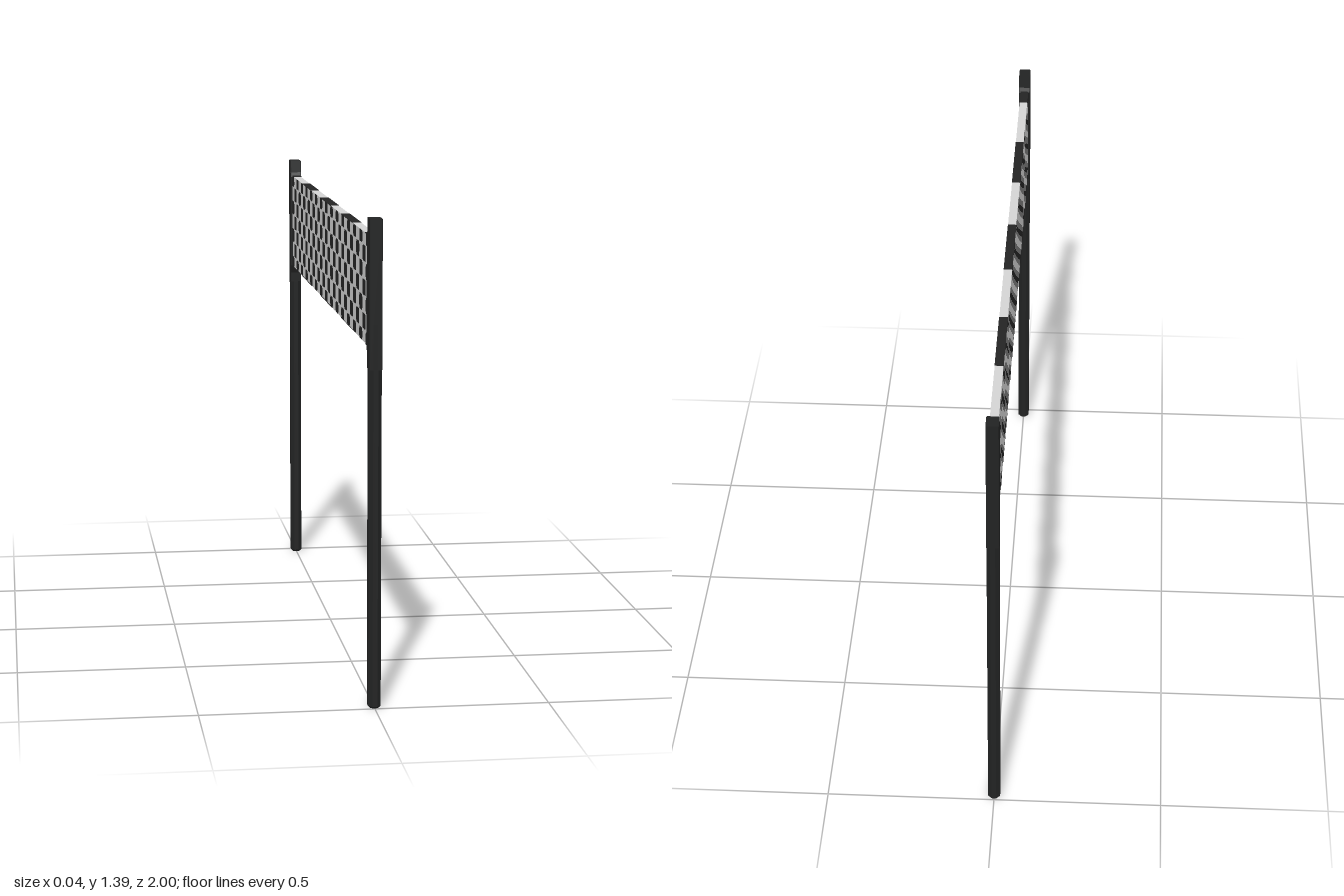
import * as THREE from 'three';
import { mergeGeometries } from 'three/addons/utils/BufferGeometryUtils.js';

const white = new THREE.MeshStandardMaterial({ color: 0xd4d4d4 });
white.name = 'banner white';
const black = new THREE.MeshStandardMaterial({ color: 0x242424 });
black.name = 'check black';
const postBlack = new THREE.MeshStandardMaterial({ color: 0x222323 });
postBlack.name = 'post black';

const HALF = 0.95, BOTTOM = 1.027, TOP = 1.338, THICK = 0.013;

// Rectangle with small cut corners, for one check
function checkShape(x0, x1, y0, y1, c) {
  return new THREE.Shape([
    [x0 + c, y0], [x1 - c, y0], [x1, y0 + c], [x1, y1 - c],
    [x1 - c, y1], [x0 + c, y1], [x0, y1 - c], [x0, y0 + c],
  ].map(([x, y]) => new THREE.Vector2(x, y)));
}

// All checks of one banner face, lying in the xy plane
function checkGeometry() {
  const pitch = 0.0655, rowH = 0.048, mid = (TOP + BOTTOM) / 2;
  const parts = [];
  for (let row = -3; row <= 3; row++) {
    for (let col = -15; col <= 15; col++) {
      if ((row + col + 30) % 2 === 0) continue;
      const x0 = Math.max(col * pitch - 0.032, -HALF);
      const x1 = Math.min(col * pitch + 0.032, HALF);
      if (x1 - x0 < 0.02) continue;
      const y0 = Math.max(mid + row * rowH - 0.0225, BOTTOM);
      const y1 = Math.min(mid + row * rowH + 0.0225, TOP);
      parts.push(new THREE.ShapeGeometry(checkShape(x0, x1, y0, y1, 0.008)));
    }
  }
  return mergeGeometries(parts);
}

function makeBanner() {
  const banner = new THREE.Group();
  banner.name = 'banner';
  const panel = new THREE.Mesh(
    new THREE.BoxGeometry(THICK * 2 - 0.001, TOP - BOTTOM, HALF * 2), white);
  panel.name = 'bannerPanel';
  panel.position.y = (TOP + BOTTOM) / 2;
  banner.add(panel);

  // Checks on both faces
  const checks = checkGeometry();
  for (const side of [1, -1]) {
    const face = new THREE.Mesh(checks, black);
    face.name = side > 0 ? 'leftChecks' : 'rightChecks';
    face.rotation.y = side * Math.PI / 2;
    face.position.x = side * THICK;
    banner.add(face);
  }

  // Long stripes along the top and bottom edges
  const stripes = [[-0.95, -0.9], [-0.64, -0.395], [-0.14, 0.11], [0.36, 0.61], [0.87, 0.95]];
  for (const [a, b] of stripes) {
    for (const y of [TOP, BOTTOM]) {
      const stripe = new THREE.Mesh(new THREE.BoxGeometry(THICK * 2, 0.002, b - a), black);
      stripe.name = 'edgeStripe';
      stripe.position.set(0, y, (a + b) / 2);
      banner.add(stripe);
    }
  }
  return banner;
}

// Post at the +z end: chamfered pole and the clamp holding the banner
function makePost() {
  const post = new THREE.Group();
  const poleGeo = new THREE.ExtrudeGeometry(checkShape(-0.013, 0.013, -0.019, 0.019, 0.008), {
    depth: 1.09, bevelThickness: 0.006, bevelSize: 0.005, bevelSegments: 1,
  });
  poleGeo.rotateX(-Math.PI / 2).translate(0, 0.006, 0.976);
  const pole = new THREE.Mesh(poleGeo, postBlack);
  pole.name = 'pole';
  post.add(pole);

  const profile = [
    [0.999, 0.97], [0.999, 1.389], [0.954, 1.389], [0.949, 1.35], [0.941, 1.335],
    [0.941, 1.027], [0.952, 1.0], [0.952, 0.97],
  ];
  // Shape x becomes z, extrusion runs across x
  const clampGeo = new THREE.ExtrudeGeometry(
    new THREE.Shape(profile.map(([z, y]) => new THREE.Vector2(-z, y))),
    { depth: 0.032, bevelThickness: 0.002, bevelSize: 0.001, bevelSegments: 1 });
  clampGeo.translate(0, 0, -0.016).rotateY(Math.PI / 2);
  const clamp = new THREE.Mesh(clampGeo, postBlack);
  clamp.name = 'bannerClamp';
  post.add(clamp);
  return post;
}

export function createModel() {
  const model = new THREE.Group();
  model.name = 'finishBanner';
  model.add(makeBanner());
  const front = makePost();
  front.name = 'frontPost';
  const back = makePost();
  back.name = 'backPost';
  back.rotation.y = Math.PI;
  model.add(front, back);
  return model;
}
